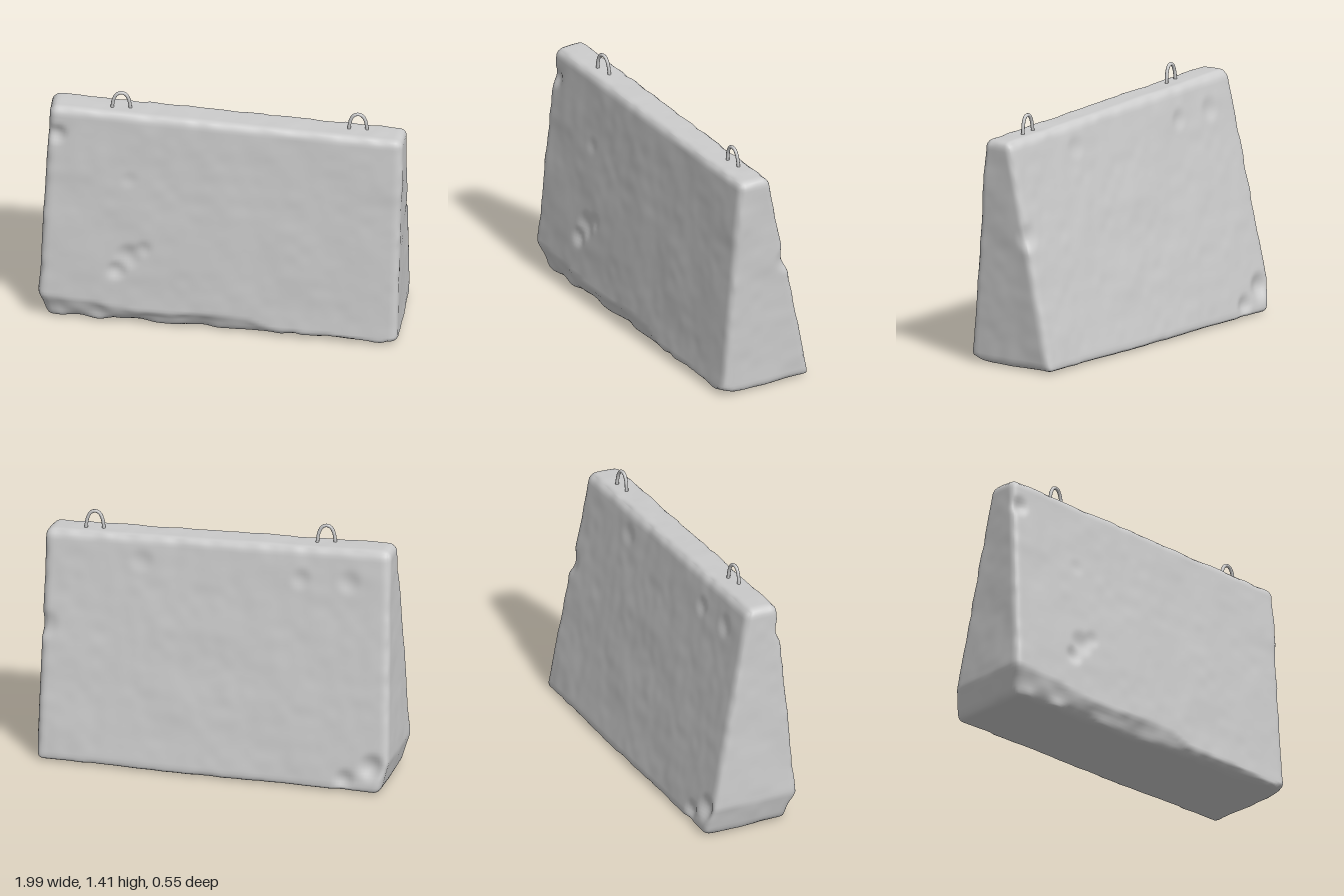
import * as THREE from 'three';
import { mergeVertices } from 'three/addons/utils/BufferGeometryUtils.js';

const { lerp, clamp, smoothstep } = THREE.MathUtils;

// Smooth value noise in -1..1
function hash(x, y, z) {
  const s = Math.sin(x * 127.1 + y * 311.7 + z * 74.7) * 43758.5453;
  return (s - Math.floor(s)) * 2 - 1;
}
function noise(x, y, z) {
  const i = Math.floor(x), j = Math.floor(y), k = Math.floor(z);
  const [a, b, c] = [x - i, y - j, z - k].map(f => f * f * (3 - 2 * f));
  const row = (m, n) => lerp(hash(i, m, n), hash(i + 1, m, n), a);
  const layer = n => lerp(row(j, n), row(j + 1, n), b);
  return lerp(layer(k), layer(k + 1), c);
}

// Height of the broken lower front edge along the length
function breakHeight(x) {
  const base = x < -0.6 ? lerp(0.18, 0.12, (x + 1) / 0.4) : lerp(0.12, 0.04, smoothstep(x, -0.1, 0.7));
  return base + 0.025 * noise(x * 7, 3, 1);
}

// Dents and chips: centre, radius, depth
const dents = [
  [-0.50, 0.45, 0.25, 0.09, 0.022],
  [-0.56, 0.36, 0.26, 0.07, 0.022],
  [-0.42, 0.50, 0.24, 0.06, 0.012],
  [-0.90, 1.17, 0.18, 0.07, 0.025],
  [-0.50, 0.92, 0.21, 0.06, 0.006],
  [0.97, 0.75, -0.13, 0.09, 0.018],
  [-0.90, 0.16, -0.26, 0.09, 0.03],
  [-0.75, 0.08, -0.27, 0.07, 0.02],
  [-0.72, 1.15, -0.04, 0.08, 0.012],
  [-0.45, 1.14, -0.05, 0.07, 0.012],
  [0.45, 1.15, -0.05, 0.08, 0.010],
];

// Worn wedge-shaped concrete block
function blockGeometry() {
  let g = new THREE.BoxGeometry(2, 1, 2, 110, 72, 28);
  g.deleteAttribute('uv');
  g.deleteAttribute('normal');
  g = mergeVertices(g, 1e-4);
  const pos = g.attributes.position;
  const p = new THREE.Vector3(), inner = new THREE.Vector3(), n = new THREE.Vector3();
  const H = 1.285, r = 0.04;

  for (let i = 0; i < pos.count; i++) {
    p.fromBufferAttribute(pos, i);
    const t = p.y + 0.5;
    // Sloping front, back and ends
    const front = lerp(0.275, 0.168, t), back = lerp(-0.285, -0.012, t);
    const left = lerp(-1.0, -0.94, t), right = lerp(0.98, 0.995, t);
    p.set(lerp(left, right, (p.x + 1) / 2), t * H, lerp(back, front, (p.z + 1) / 2));
    // Rounded edges
    inner.set(clamp(p.x, left + r, right - r), clamp(p.y, r, H - r), clamp(p.z, back + r, front - r));
    n.subVectors(p, inner);
    if (n.lengthSq() > 0) p.copy(inner).addScaledVector(n.normalize(), r);
    // Top falls towards one end
    p.y = 0.012 + p.y * (1 - 0.028 * p.x);
    // Undercut along the lower front and the lower left corner
    const h = breakHeight(p.x);
    if (p.y < h) {
      const k = 1 - p.y / h;
      const f = smoothstep(p.z, -0.05, 0.25);
      p.z -= 0.065 * k * f * (1 + 0.4 * noise(p.x * 9, p.y * 9, 5));
      p.x += 0.055 * k * smoothstep(-p.x, 0.8, 1);
    }
    pos.setXYZ(i, p.x, p.y, p.z);
  }

  // Weathering along the normals
  g.computeVertexNormals();
  const nor = g.attributes.normal;
  for (let i = 0; i < pos.count; i++) {
    p.fromBufferAttribute(pos, i);
    n.fromBufferAttribute(nor, i);
    const edge = 1 - Math.max(Math.abs(n.x), Math.abs(n.y), Math.abs(n.z));
    let d = 0.004 * noise(p.x * 5 + 9, p.y * 5, p.z * 5)
      + (0.0015 + 0.018 * edge) * noise(p.x * 15, p.y * 15, p.z * 15 + 4);
    for (const [x, y, z, rad, depth] of dents) {
      const q = Math.hypot(p.x - x, p.y - y, p.z - z) / rad;
      if (q < 1) d -= depth * (1 - q * q) ** 2;
    }
    p.addScaledVector(n, d);
    pos.setXYZ(i, p.x, Math.max(p.y, 0.003), p.z);
  }
  g.computeVertexNormals();
  return g;
}

// Bent bar sunk into the top
function hoopGeometry() {
  const pts = [[-0.051, -0.05], [-0.049, 0.01], [-0.04, 0.065], [-0.022, 0.096], [0, 0.104],
    [0.022, 0.096], [0.04, 0.065], [0.049, 0.01], [0.051, -0.05]];
  const curve = new THREE.CatmullRomCurve3(pts.map(([x, y]) => new THREE.Vector3(x, y, 0)));
  return new THREE.TubeGeometry(curve, 40, 0.0095, 10);
}

export function createModel() {
  const group = new THREE.Group();
  const material = new THREE.MeshStandardMaterial({ color: 0xcccccc });

  const block = new THREE.Mesh(blockGeometry(), material);
  block.name = 'concreteBlock';
  group.add(block);

  const hoop = hoopGeometry();
  for (const [name, x, y, z, turn] of [
    ['rightLiftingHoop', -0.557, 1.308, 0.09, 0.15],
    ['leftLiftingHoop', 0.738, 1.262, 0.063, 0.09],
  ]) {
    const mesh = new THREE.Mesh(hoop, material);
    mesh.name = name;
    mesh.position.set(x, y, z);
    mesh.rotation.set(0.04, turn, 0);
    group.add(mesh);
  }
  return group;
}
